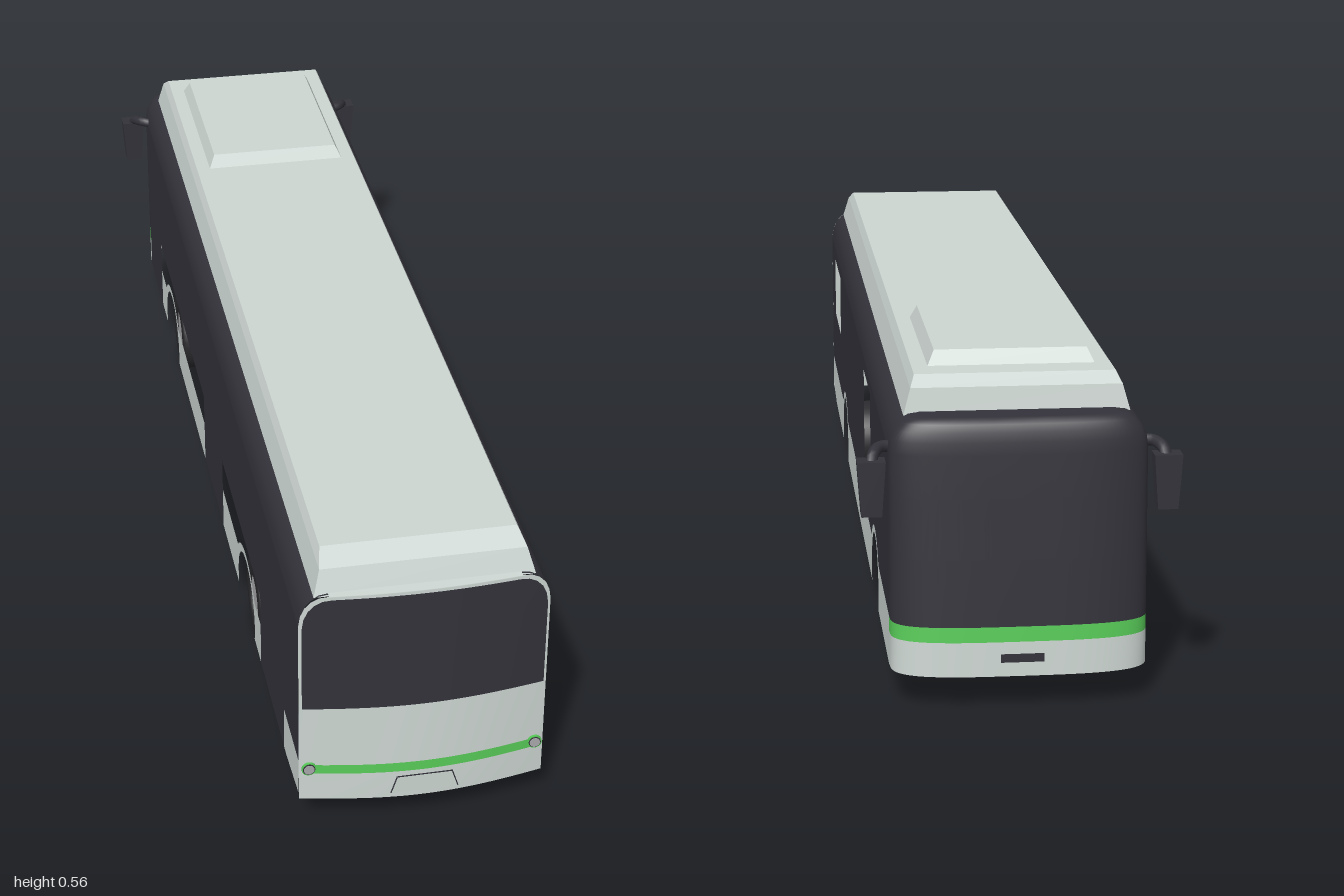
import * as THREE from 'three';

const mat = (name, color) => {
  const m = new THREE.MeshStandardMaterial({ color, side: THREE.DoubleSide });
  m.name = name;
  return m;
};

const Z_FRONT = -0.92, Z_REAR = 0.97, ARCHES = [-0.56, 0.43];
// half width of the body at each height of the rounded shoulder
const SHOULDER = [[0.42, 0.21], [0.44, 0.207], [0.456, 0.2], [0.468, 0.189], [0.475, 0.176], [0.477, 0.16]];

export function createModel() {
  const bus = new THREE.Group();
  const paint = mat('light grey paint', 0xcdd6d2);
  const dark = mat('dark glazing', 0x33323a);
  const rubber = mat('tyre rubber', 0x2b2b2f);
  const metal = mat('hub grey', 0xaaa8ac);
  const green = mat('green stripe', 0x58cb58);

  const add = (name, geometry, material, parent = bus) => {
    const mesh = new THREE.Mesh(geometry, material);
    mesh.name = name;
    parent.add(mesh);
    return mesh;
  };

  // surface through rows of points
  const loft = (rows, flat = false) => {
    const n = rows[0].length, index = [];
    for (let r = 0; r < rows.length - 1; r++)
      for (let i = 0; i < n - 1; i++) {
        const a = r * n + i, b = a + n;
        index.push(a, a + 1, b + 1, a, b + 1, b);
      }
    let g = new THREE.BufferGeometry();
    g.setAttribute('position', new THREE.Float32BufferAttribute(rows.flat(2), 3));
    g.setIndex(index);
    if (flat) g = g.toNonIndexed();
    g.computeVertexNormals();
    return g;
  };

  // ---- side panels, drawn in z and y ----
  const edge = (z0, z1, y, rx, ry) => {
    const pts = [[z0, y]];
    for (const c of ARCHES) {
      if (c < z0 || c > z1) continue;
      const t0 = Math.asin((y - 0.08) / ry);
      for (let i = 0; i <= 20; i++) {
        const t = Math.PI - t0 - (Math.PI - 2 * t0) * i / 20;
        pts.push([c + rx * Math.cos(t), 0.08 + ry * Math.sin(t)]);
      }
    }
    pts.push([z1, y]);
    return pts;
  };
  const panel = (name, pts, x, material, holes = []) => {
    const toShape = (p) => new THREE.Shape(p.map(([z, y]) => new THREE.Vector2(z, y)));
    const shape = toShape(pts);
    shape.holes = holes.map(([z0, z1, y0, y1]) => toShape([[z0, y0], [z0, y1], [z1, y1], [z1, y0]]));
    add(name, new THREE.ShapeGeometry(shape).rotateY(-Math.PI / 2).translate(x, 0, 0), material);
  };
  const rect = (z0, z1, y0, y1) => [[z0, y0], [z1, y0], [z1, y1], [z0, y1]];
  const skirt = (name, z0, z1, x) => {
    let low = edge(z0, z1, 0.055, 0.093, 0.088);
    if (z1 === Z_REAR) {
      low.pop();
      low.push([Math.max(z0, 0.85), 0.055], [z1, 0.07]);
    }
    panel(name, [...low, ...edge(z0, z1, 0.14, 0.118, 0.1).reverse()], x, paint);
  };

  // left side: full wall with two window openings
  panel('leftWall', [...edge(Z_FRONT, Z_REAR, 0.14, 0.118, 0.1), [Z_REAR, 0.42], [Z_FRONT, 0.42]],
    0.21, dark, [[0.61, 0.835, 0.268, 0.395], [-0.45, -0.26, 0.215, 0.395]]);
  skirt('leftSkirt', Z_FRONT, Z_REAR, 0.21);

  // right side: upper wall, three doors reaching the sill, open strips between
  panel('rightWall', rect(Z_FRONT, Z_REAR, 0.205, 0.42), -0.21, dark);
  for (const [z0, z1] of [[Z_FRONT, -0.73], [-0.09, 0.15], [0.59, 0.83]])
    panel('door', rect(z0, z1, 0.055, 0.205), -0.21, dark);
  panel('rightRearWall', rect(0.83, Z_REAR, 0.14, 0.205), -0.21, dark);
  for (const [z0, z1] of [[-0.73, -0.09], [0.15, 0.59], [0.83, Z_REAR]])
    skirt('rightSkirt', z0, z1, -0.21);

  // rounded shoulders above both walls
  for (const s of [1, -1])
    add('shoulder', loft([Z_FRONT, Z_REAR].map((z) => SHOULDER.map(([y, w]) => [s * w, y, z]))), dark);

  // ---- windscreen end (at -z), rounded in plan and leaning back ----
  const N = 32;
  const noseRow = (y, w = 0.21, grow = 0) => {
    const depth = 0.08 - 0.03 * Math.max(0, (y - 0.07) / 0.41) + grow;
    return Array.from({ length: N + 1 }, (_, i) => {
      const t = Math.PI * i / N, c = Math.cos(t);
      return [w * Math.sign(c) * Math.abs(c) ** 0.6, y, Z_FRONT - depth * Math.abs(Math.sin(t)) ** 0.6];
    });
  };
  add('noseBumper', loft([noseRow(0.058), noseRow(0.115)]), paint);
  add('noseStripe', loft([noseRow(0.115), noseRow(0.14)]), green);
  add('windscreen', loft([
    ...[0.14, 0.25, 0.35].map((y) => noseRow(y)),
    ...SHOULDER.map(([y, w], i) => noseRow(y, w, -0.002 * i * i * 0.4)),
    Array.from({ length: N + 1 }, (_, i) => [0.16 * Math.cos(Math.PI * i / N), 0.478, -0.88]),
  ]), dark);
  add('noseGrille', new THREE.BoxGeometry(0.07, 0.014, 0.006), dark).position.set(0, 0.088, -0.996);

  // ---- window end (at +z), gently bowed ----
  const tailZ = (x, y) => Z_REAR + (0.029 - 0.014 * Math.max(0, (y - 0.12) / 0.36)) * Math.cos(x / 0.21 * 1.5);
  const tailRow = (y, w = 0.21, out = 0) => Array.from({ length: 25 }, (_, i) => {
    const x = w * (i / 12 - 1);
    return [x, y, tailZ(x, y) + out];
  });
  add('tailPanel', loft([
    tailRow(0.06), tailRow(0.12), tailRow(0.25), ...SHOULDER.map(([y, w]) => tailRow(y, w)),
    Array.from({ length: 25 }, (_, i) => [0.16 * (i / 12 - 1), 0.478, 0.93]),
  ]), paint);
  add('tailWindow', loft([
    tailRow(0.253, 0.205, 0.003), ...SHOULDER.map(([y, w]) => tailRow(y - 0.005, w - 0.005, 0.003)),
  ]), dark);
  add('tailStripe', loft([tailRow(0.117, 0.2, 0.003), tailRow(0.135, 0.2, 0.003)]), green);
  for (const s of [1, -1]) {
    const lamp = new THREE.Group();
    lamp.name = 'tailLamp';
    lamp.position.set(s * 0.194, 0.128, tailZ(0.194, 0.128) + 0.004);
    const face = (r, z) => new THREE.CylinderGeometry(r, r, 0.004, 20).rotateX(Math.PI / 2).translate(0, 0, z);
    add('lampSurround', face(0.0125, 0), green, lamp);
    add('lampRim', face(0.0105, 0.001), dark, lamp);
    add('lampLens', face(0.009, 0.002), metal, lamp);
    bus.add(lamp);
  }
  // plate recess with a thin dark outline
  const plate = (b, t, y0, y1) => new THREE.ShapeGeometry(new THREE.Shape([
    [-b, y0], [b, y0], [t, y1], [-t, y1]].map(([x, y]) => new THREE.Vector2(x, y))));
  add('plateOutline', plate(0.059, 0.048, 0.071, 0.106), dark).position.z = 1.0;
  add('plateRecess', plate(0.057, 0.0465, 0.071, 0.104), paint).position.z = 1.0008;

  // ---- roof pod and hatch, stacked tapering rings: [y, half width, z0, z1] ----
  const stack = (rings) => loft(rings.map(([y, w, z0, z1]) =>
    [[w, y, z0], [-w, y, z0], [-w, y, z1], [w, y, z1], [w, y, z0]]), true);
  add('roofPod', stack([[0.472, 0.184, -0.907, 0.968], [0.515, 0.172, -0.9, 0.952],
    [0.532, 0.164, -0.875, 0.912], [0.532, 0, -0.6, 0.6]]), paint);
  add('roofHatch', stack([[0.531, 0.138, -0.82, -0.44], [0.556, 0.126, -0.806, -0.454],
    [0.556, 0, -0.7, -0.55]]), paint);

  // ---- wheels ----
  for (const s of [1, -1])
    for (const z of ARCHES) {
      const wheel = new THREE.Group();
      wheel.name = 'wheel';
      wheel.position.set(s * 0.155, 0.08, z);
      wheel.rotation.z = -s * Math.PI / 2;
      const profile = [[0.076, -0.042], [0.08, -0.036], [0.08, 0.036], [0.076, 0.042], [0.049, 0.042], [0.047, 0.036]];
      add('tyre', new THREE.LatheGeometry(profile.map(([r, y]) => new THREE.Vector2(r, y)), 32), rubber, wheel);
      add('hub', new THREE.CircleGeometry(0.048, 32).rotateX(-Math.PI / 2).translate(0, 0.037, 0), metal, wheel);
      if (z > 0)
        add('innerDisc', new THREE.CircleGeometry(0.078, 32).rotateX(Math.PI / 2), rubber, wheel);
      bus.add(wheel);
    }

  // ---- mirrors ----
  for (const s of [1, -1]) {
    const mirror = new THREE.Group();
    mirror.name = 'mirror';
    const body = new THREE.BoxGeometry(0.046, 0.09, 0.034);
    const p = body.attributes.position;
    for (let i = 0; i < p.count; i++) // taper towards the bottom
      if (p.getY(i) < 0) p.setX(i, p.getX(i) * 0.72);
    add('mirrorHousing', body, dark, mirror).position.set(s * 0.239, 0.365, -0.946);
    const arm = new THREE.CatmullRomCurve3([[0.2, 0.42, -0.9], [0.222, 0.422, -0.91], [0.235, 0.415, -0.935], [0.238, 0.4, -0.946]]
      .map(([x, y, z]) => new THREE.Vector3(s * x, y, z)));
    add('mirrorArm', new THREE.TubeGeometry(arm, 10, 0.01, 8), dark, mirror);
    bus.add(mirror);
  }
  return bus;
}
